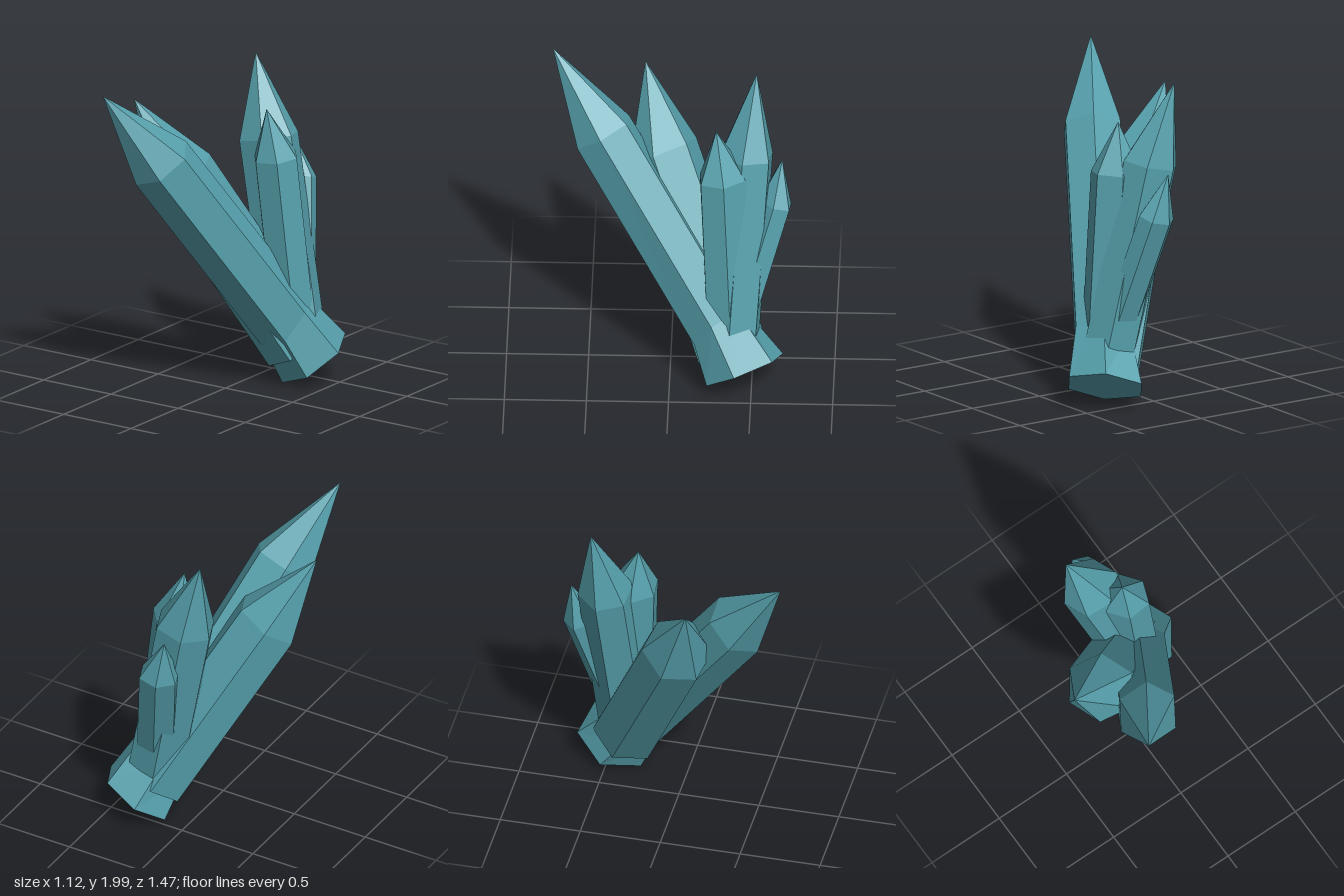
import * as THREE from 'three';

// One six-sided crystal. Each ring is [centre, a, b]: a and b are the spokes to
// two neighbouring corners, and the other four corners follow from them.
function crystalGeometry(rings, tip) {
  const positions = [];
  const corners = rings.map(([c, a, b]) => {
    const C = new THREE.Vector3(...c);
    const A = new THREE.Vector3(...a);
    const B = new THREE.Vector3(...b);
    const D = B.clone().sub(A);
    const half = [A, B, D];
    return [...half, ...half.map((v) => v.clone().negate())].map((v) => v.add(C));
  });
  const face = (...points) => points.forEach((p) => positions.push(p.x, p.y, p.z));
  const top = new THREE.Vector3(...tip);
  const bottom = new THREE.Vector3(...rings[0][0]);
  const last = corners.length - 1;

  for (let i = 0; i < 6; i++) {
    const j = (i + 1) % 6;
    // flat underside
    face(bottom, corners[0][j], corners[0][i]);
    // long sides
    for (let k = 0; k < last; k++) {
      const [lo, hi] = [corners[k], corners[k + 1]];
      face(lo[i], lo[j], hi[j]);
      face(lo[i], hi[j], hi[i]);
    }
    // pointed end
    face(corners[last][i], corners[last][j], top);
  }
  const geometry = new THREE.BufferGeometry();
  geometry.setAttribute('position', new THREE.Float32BufferAttribute(positions, 3));
  geometry.computeVertexNormals();
  return geometry;
}

export function createModel() {
  const group = new THREE.Group();
  group.name = 'crystalCluster';
  const teal = new THREE.MeshStandardMaterial({ color: 0x56a0ac, flatShading: true });
  teal.name = 'teal crystal';

  const add = (name, rings, tip) => {
    const mesh = new THREE.Mesh(crystalGeometry(rings, tip), teal);
    mesh.name = name;
    group.add(mesh);
  };

  // Main crystal with a flared foot
  add('mainCrystal', [
    [[0.335, 0.145, -0.46], [0.11, -0.05, 0.23], [0.225, 0.085, 0.06]],
    [[0.24, 0.394, -0.302], [0.1, -0.068, 0.15], [0.17, 0.104, 0.043]],
    [[-0.187, 1.52, 0.415], [0.1, -0.06, 0.155], [0.187, 0.06, 0.015]],
  ], [-0.4, 1.99, 0.73]);

  // Straight side crystals: foot centre, shoulder centre, two spokes, tip
  const sideCrystals = [
    ['leaningCrystal', [0.265, 0.24, -0.38], [-0.285, 1.33, 0.055],
      [-0.195, -0.08, -0.055], [-0.105, -0.12, 0.145], [-0.56, 1.8, 0.17]],
    ['tallBackCrystal', [0.26, 0.28, -0.38], [0, 1.5, -0.46],
      [-0.18, -0.04, -0.02], [-0.12, -0.017, 0.14], [-0.14, 2, -0.52]],
    ['uprightCrystal', [0.26, 0.28, -0.37], [0.15, 1.43, -0.32],
      [-0.15, -0.015, 0.01], [-0.05, -0.011, 0.14], [0.11, 1.74, -0.28]],
    ['smallBackCrystal', [0.26, 0.27, -0.37], [0.08, 1.21, -0.64],
      [-0.12, -0.026, -0.01], [-0.09, 0.006, 0.085], [0.02, 1.48, -0.68]],
  ];
  for (const [name, foot, shoulder, a, b, tip] of sideCrystals) {
    add(name, [[foot, a, b], [shoulder, a, b]], tip);
  }
  return group;
}
